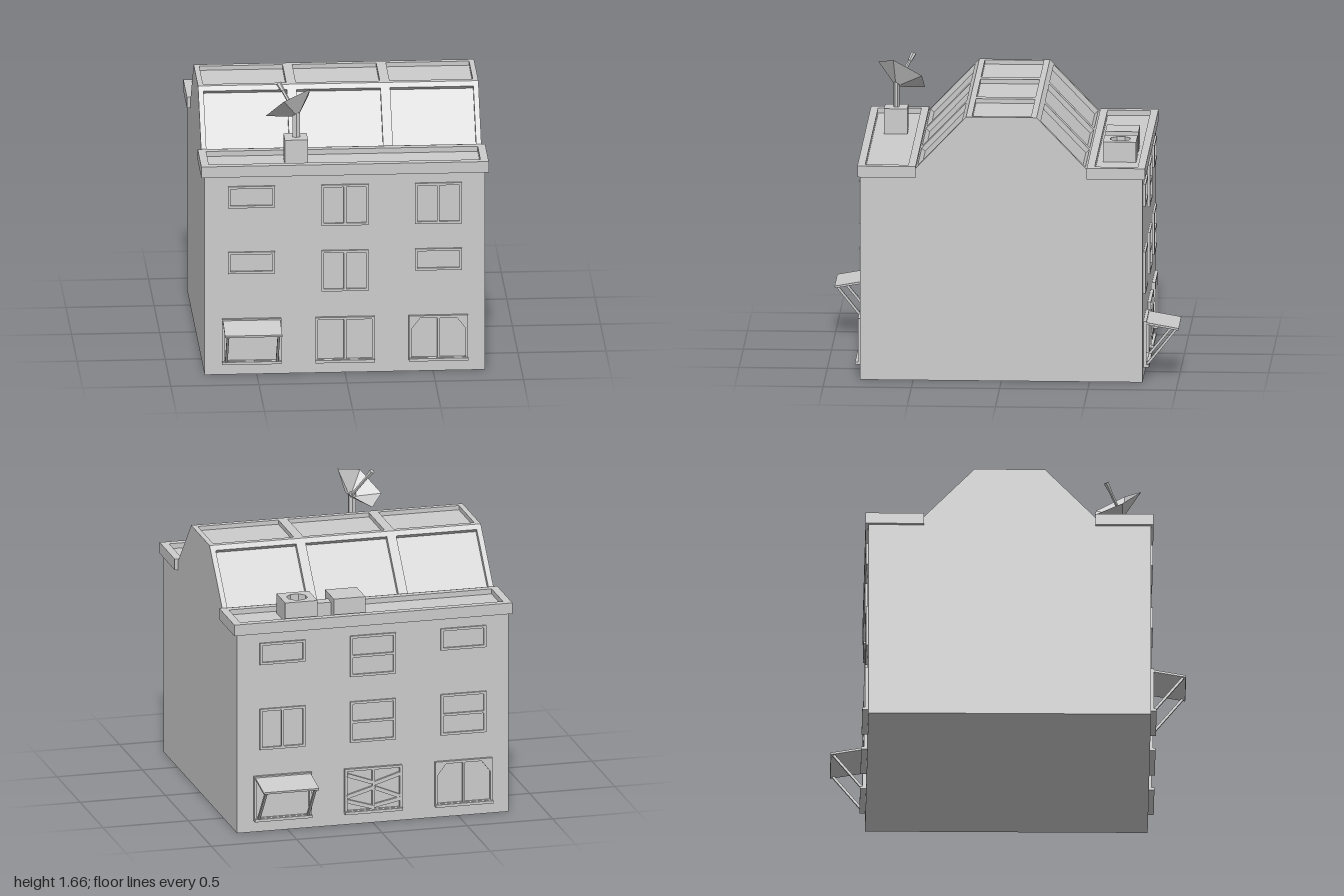
import * as THREE from 'three';

const mat = new THREE.MeshStandardMaterial({ color: 0xcccccc, flatShading: true });
const thin = new THREE.MeshStandardMaterial({ color: 0xcccccc, flatShading: true, side: THREE.DoubleSide });

function add(parent, name, geometry, material = mat) {
  const mesh = new THREE.Mesh(geometry, material);
  mesh.name = name;
  parent.add(mesh);
  return mesh;
}

// Box given by its two opposite corners
function block(parent, name, [x0, y0, z0], [x1, y1, z1]) {
  const g = new THREE.BoxGeometry(x1 - x0, y1 - y0, z1 - z0);
  g.translate((x0 + x1) / 2, (y0 + y1) / 2, (z0 + z1) / 2);
  return add(parent, name, g);
}

// Straight bar between two points, w wide and t thick
function bar(parent, name, a, b, w, t) {
  const p = new THREE.Vector3(...a), q = new THREE.Vector3(...b);
  const mesh = add(parent, name, new THREE.BoxGeometry(w, t, p.distanceTo(q)));
  mesh.position.copy(p).add(q).multiplyScalar(0.5);
  mesh.lookAt(q);
  return mesh;
}

const poly = pts => pts.map(([x, y]) => new THREE.Vector2(x, y));
const rect = (x0, y0, x1, y1) => poly([[x0, y0], [x1, y0], [x1, y1], [x0, y1]]);

// Flat plate with openings, extruded along z
function plate(outer, holes, depth) {
  const shape = new THREE.Shape(outer);
  holes.forEach(h => shape.holes.push(new THREE.Path(h)));
  return new THREE.ExtrudeGeometry(shape, { depth, bevelEnabled: false, curveSegments: 8 });
}

// Window frame standing proud of the wall, with a grid of panes
function windowFrame(parent, x, y0, y1, w, { cols = 1, rows = 1, depth = 0.012, arched = false } = {}) {
  const m = 0.014, x0 = x - w / 2;
  const pw = (w - m * (cols + 1)) / cols, ph = (y1 - y0 - m * (rows + 1)) / rows;
  const holes = [];
  for (let c = 0; c < cols; c++) {
    for (let r = 0; r < rows; r++) {
      const l = x0 + m + c * (pw + m), b = y0 + m + r * (ph + m), R = l + pw, t = b + ph;
      if (!arched) holes.push(rect(l, b, R, t));
      else if (c === 0) holes.push(poly([[l, b], [R, b], [R, t], [l + 0.05, t], [l, t - 0.065]]));
      else holes.push(poly([[l, b], [R, b], [R, t - 0.065], [R - 0.05, t], [l, t]]));
    }
  }
  const mesh = add(parent, arched ? 'archedWindow' : 'windowFrame', plate(rect(x0, y0, x0 + w, y1), holes, depth + 0.005));
  mesh.position.z = 0.795;
}

// One street side: two upper floors given as a layout, and the ground floor
function facade(name, upper, boarded) {
  const g = new THREE.Group();
  g.name = name;
  const columns = [-0.53, 0, 0.53];
  upper.forEach((row, i) => {
    const top = i === 0 ? 1.117 : 0.727;
    row.forEach((kind, c) => {
      const h = kind === 'small' ? 0.128 : 0.242;
      windowFrame(g, columns[c], top - h, top, 0.266,
        { cols: kind === 'double' ? 2 : 1, rows: kind === 'stacked' ? 2 : 1 });
    });
  });
  columns.forEach((x, c) => {
    windowFrame(g, x, 0.07, 0.332, 0.336, { cols: c ? 2 : 1, depth: 0.018, arched: c === 2 });
    block(g, 'windowSill', [x - 0.168, 0.066, 0.79], [x + 0.168, 0.082, 0.833]);
  });

  // Awning over the first opening
  bar(g, 'awning', [-0.53, 0.321, 0.802], [-0.53, 0.286, 0.999], 0.325, 0.012);
  for (const s of [-1, 1]) {
    const x = -0.53 + s * 0.144;
    bar(g, 'awningStrut', [x, 0.08, 0.82], [x, 0.282, 0.982], 0.014, 0.014);
  }

  // Planks nailed over the middle opening
  if (boarded) {
    [[-0.08, 0.27, -0.35], [-0.08, 0.19, 0.28], [-0.08, 0.12, -0.3],
      [0.08, 0.26, 0.3], [0.08, 0.18, -0.4], [0.08, 0.12, 0.2]].forEach(([x, y, a]) => {
      const p = add(g, 'plank', new THREE.BoxGeometry(0.155, 0.022, 0.014));
      p.position.set(x, y, 0.815);
      p.rotation.z = a;
    });
  }
  return g;
}

// Mansard roof: full-section ribs alternating with bays of sunken panels
function roof() {
  const g = new THREE.Group();
  g.name = 'roof';
  const mirrored = half => poly([...half, ...half.map(([z, y]) => [-z, y]).reverse()]);
  const ribProfile = mirrored([[0.487, 1.19], [0.487, 1.225], [0.2, 1.525]]);
  const bayProfile = mirrored([[0.487, 1.19], [0.487, 1.225], [0.475, 1.2375], [0.455, 1.218], [0.203, 1.482],
    [0.223, 1.501], [0.2, 1.525], [0.167, 1.525], [0.167, 1.5]]);
  const xs = [-0.795, -0.765, -0.293, -0.238, 0.238, 0.293, 0.765, 0.795];
  for (let i = 0; i < xs.length - 1; i++) {
    const rib = i % 2 === 0;
    const geo = plate(rib ? ribProfile : bayProfile, [], xs[i + 1] - xs[i]);
    geo.rotateY(-Math.PI / 2);
    add(g, rib ? 'roofRib' : 'roofBay', geo).position.x = xs[i + 1];
  }
  return g;
}

// Flat gutter roof with a raised rim
function cornice(side) {
  const g = new THREE.Group();
  g.name = side > 0 ? 'frontCornice' : 'backCornice';
  block(g, 'corniceFloor', [-0.815, 1.175, -0.165], [0.815, 1.21, 0.165]);
  const rim = plate(rect(-0.815, -0.165, 0.815, 0.165), [rect(-0.77, -0.122, 0.77, 0.122)], 0.03);
  rim.rotateX(-Math.PI / 2);
  add(g, 'corniceRim', rim).position.y = 1.21;
  g.position.z = side * 0.65;
  return g;
}

function satelliteDish() {
  const g = new THREE.Group();
  g.name = 'satelliteDish';
  block(g, 'dishBase', [-0.335, 1.2, 0.58], [-0.203, 1.356, 0.712]);
  const pole = add(g, 'dishPole', new THREE.CylinderGeometry(0.024, 0.024, 0.15, 6));
  pole.position.set(-0.267, 1.425, 0.645);
  pole.scale.z = 0.7;

  // Tilted five-sided bowl with its feed horn
  const bowl = new THREE.Group();
  bowl.name = 'dishBowl';
  const profile = poly([[0, -0.078], [0.03, -0.075], [0.158, 0]]);
  add(bowl, 'dishReflector', new THREE.LatheGeometry(profile, 5), thin);
  add(bowl, 'feedArm', new THREE.CylinderGeometry(0.01, 0.01, 0.15, 6)).position.y = 0.005;
  add(bowl, 'feedHorn', new THREE.CylinderGeometry(0.016, 0.012, 0.05, 6)).position.y = 0.105;
  const up = new THREE.Vector3(-0.6, 1, -0.55).normalize();
  const toCorner = new THREE.Vector3(-0.044, -0.092, -0.12);
  toCorner.addScaledVector(up, -toCorner.dot(up)).normalize();
  const across = new THREE.Vector3().crossVectors(up, toCorner);
  bowl.quaternion.setFromRotationMatrix(new THREE.Matrix4().makeBasis(across, up, toCorner));
  bowl.position.set(-0.3, 1.545, 0.607);
  g.add(bowl);
  return g;
}

function ventilation() {
  const g = new THREE.Group();
  g.name = 'ventilationUnit';
  block(g, 'ventBox', [0.03, 1.2, -0.75], [0.215, 1.326, -0.562]);
  block(g, 'ventDuct', [0.2, 1.2, -0.69], [0.32, 1.29, -0.62]);
  // Fan housing with an octagonal well
  const well = [];
  for (let i = 0; i < 8; i++) {
    const a = (i + 0.5) * Math.PI / 4;
    well.push(new THREE.Vector2(0.06 * Math.cos(a), 0.06 * Math.sin(a)));
  }
  block(g, 'fanBase', [0.31, 1.2, -0.75], [0.5, 1.28, -0.562]);
  const top = plate(rect(-0.095, -0.094, 0.095, 0.094), [well], 0.046);
  top.rotateX(-Math.PI / 2);
  add(g, 'fanHousing', top).position.set(0.405, 1.28, -0.656);
  return g;
}

export function createModel() {
  const model = new THREE.Group();
  model.name = 'apartmentBuilding';
  block(model, 'walls', [-0.795, 0, -0.8], [0.795, 1.2, 0.8]);
  model.add(roof(), cornice(1), cornice(-1), satelliteDish(), ventilation());
  model.add(facade('frontFacade', [['small', 'double', 'double'], ['small', 'double', 'small']], false));
  const back = facade('backFacade', [['small', 'stacked', 'small'], ['double', 'stacked', 'stacked']], true);
  back.rotation.y = Math.PI;
  model.add(back);
  return model;
}
